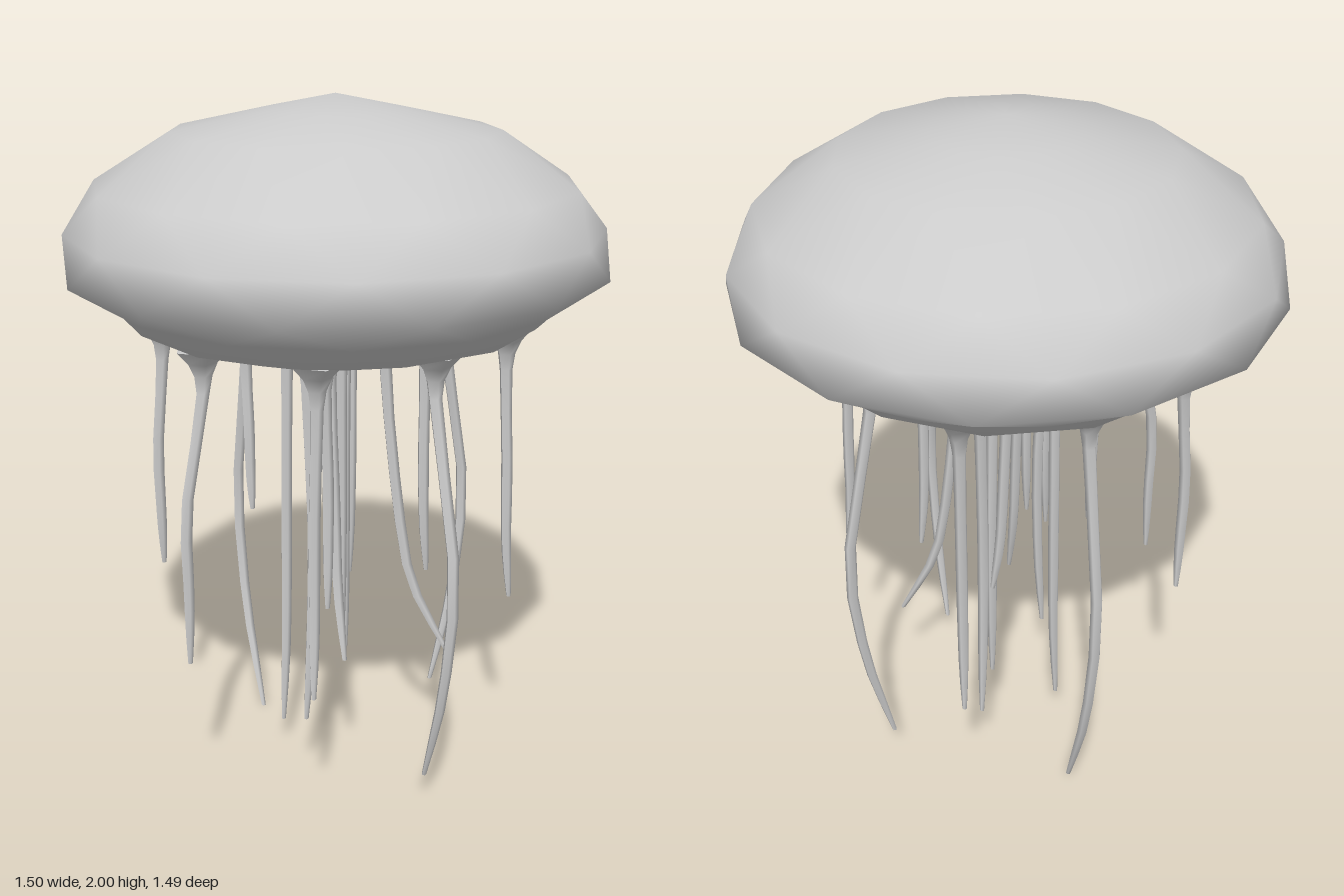
import * as THREE from 'three';

const material = new THREE.MeshStandardMaterial({ color: 0xcccccc });
const ROOT_Y = 1.37;

// Faceted dome with smooth normals: each ring is turned half a step to form a triangular lattice.
function bellGeometry() {
  const profile = [
    [0, 1.36], [0.3, 1.36], [0.46, 1.363], [0.565, 1.393], [0.635, 1.46],
    [0.755, 1.535], [0.74, 1.645], [0.665, 1.765], [0.45, 1.905], [0.2, 1.96], [0, 2],
  ].map(([r, y]) => new THREE.Vector2(r, y));
  const sides = 13;
  const geometry = new THREE.LatheGeometry(profile, sides);
  const { position, normal } = geometry.attributes;
  const up = new THREE.Vector3(0, 1, 0);
  const v = new THREE.Vector3();
  for (let i = 0; i < position.count; i++) {
    const row = i % profile.length;
    for (const attribute of [position, normal]) {
      v.fromBufferAttribute(attribute, i).applyAxisAngle(up, row * Math.PI / sides);
      attribute.setXYZ(i, v.x, v.y, v.z);
    }
    // Smooth poles
    if (row === 0) normal.setXYZ(i, 0, -1, 0);
    if (row === profile.length - 1) normal.setXYZ(i, 0, 1, 0);
  }
  return geometry;
}

// A tapering strand with a flared root that blends into the underside.
function tentacleGeometry([rootX, rootZ, midX, midZ, tipX, tipZ, tipY]) {
  const { lerp } = THREE.MathUtils;
  const upperY = 1.25;
  const curve = new THREE.CatmullRomCurve3([
    new THREE.Vector3(rootX, ROOT_Y, rootZ),
    new THREE.Vector3(rootX, upperY, rootZ),
    new THREE.Vector3(midX, lerp(upperY, tipY, 0.42), midZ),
    new THREE.Vector3(lerp(midX, tipX, 0.3), lerp(upperY, tipY, 0.74), lerp(midZ, tipZ, 0.3)),
    new THREE.Vector3(tipX, tipY, tipZ),
  ]);
  const steps = [0, 0.08, 0.16, 0.25, 0.36, 0.47, 0.58, 0.7, 0.8, 0.9, 1];
  const radii = [0.075, 0.042, 0.026, 0.019, 0.017, 0.017, 0.017, 0.016, 0.015, 0.012, 0.007];
  const geometry = new THREE.CylinderGeometry(1, 1, 1, 5, steps.length - 1);
  const position = geometry.attributes.position;
  for (let i = 0; i < position.count; i++) {
    const row = Math.round((0.5 - position.getY(i)) * (steps.length - 1));
    const p = curve.getPoint(steps[row]);
    position.setXYZ(i,
      p.x + position.getX(i) * radii[row], p.y, p.z + position.getZ(i) * radii[row]);
  }
  geometry.computeVertexNormals();
  return geometry;
}

// Each row: root x, z; middle x, z; tip x, z; tip height.
const outerTentacles = [
  [-0.44, 0, -0.51, 0, -0.36, 0.02, 0],
  [0.42, 0, 0.51, 0, 0.4, -0.01, 0.1],
  [0, 0.45, 0, 0.515, 0, 0.52, 0.47],
  [0, -0.42, 0, -0.51, -0.02, -0.41, 0.1],
  [-0.35, 0.36, -0.36, 0.38, -0.37, 0.37, 0.61],
  [0.34, -0.34, 0.35, -0.35, 0.36, -0.37, 0.55],
  [0.3, 0.3, 0.3, 0.31, 0.32, 0.33, 0.43],
  [-0.31, -0.31, -0.31, -0.31, -0.33, -0.32, 0.4],
];
const innerTentacles = [
  [-0.1, 0.1, -0.11, 0.1, -0.11, 0.12, 0.1],
  [-0.1, -0.1, -0.11, -0.11, -0.11, -0.11, 0.29],
  [0.1, -0.1, 0.12, -0.13, 0.23, -0.25, 0.35],
  [0.1, 0.1, 0.12, 0.1, 0.18, 0.11, 0.42],
  [0.1, 0.18, 0.11, 0.17, 0.1, 0.19, 0.22],
  [-0.18, -0.18, -0.17, -0.17, -0.19, -0.19, 0.22],
  [-0.18, -0.1, -0.18, -0.11, -0.17, -0.14, 0.66],
  [0.18, -0.18, 0.18, -0.18, 0.18, -0.2, 0.62],
  [0.18, 0.18, 0.18, 0.17, 0.19, 0.18, 0.61],
  [-0.19, 0.18, -0.18, 0.18, -0.17, 0.18, 0.8],
];

export function createModel() {
  const model = new THREE.Group();
  model.name = 'jellyfish';

  const bell = new THREE.Mesh(bellGeometry(), material);
  bell.name = 'bell';
  model.add(bell);

  // Long outer ring and the central cluster
  for (const [name, rows] of [['outerTentacles', outerTentacles], ['innerTentacles', innerTentacles]]) {
    const group = new THREE.Group();
    group.name = name;
    rows.forEach((row, i) => {
      const tentacle = new THREE.Mesh(tentacleGeometry(row), material);
      tentacle.name = `tentacle${i + 1}`;
      group.add(tentacle);
    });
    model.add(group);
  }
  return model;
}
